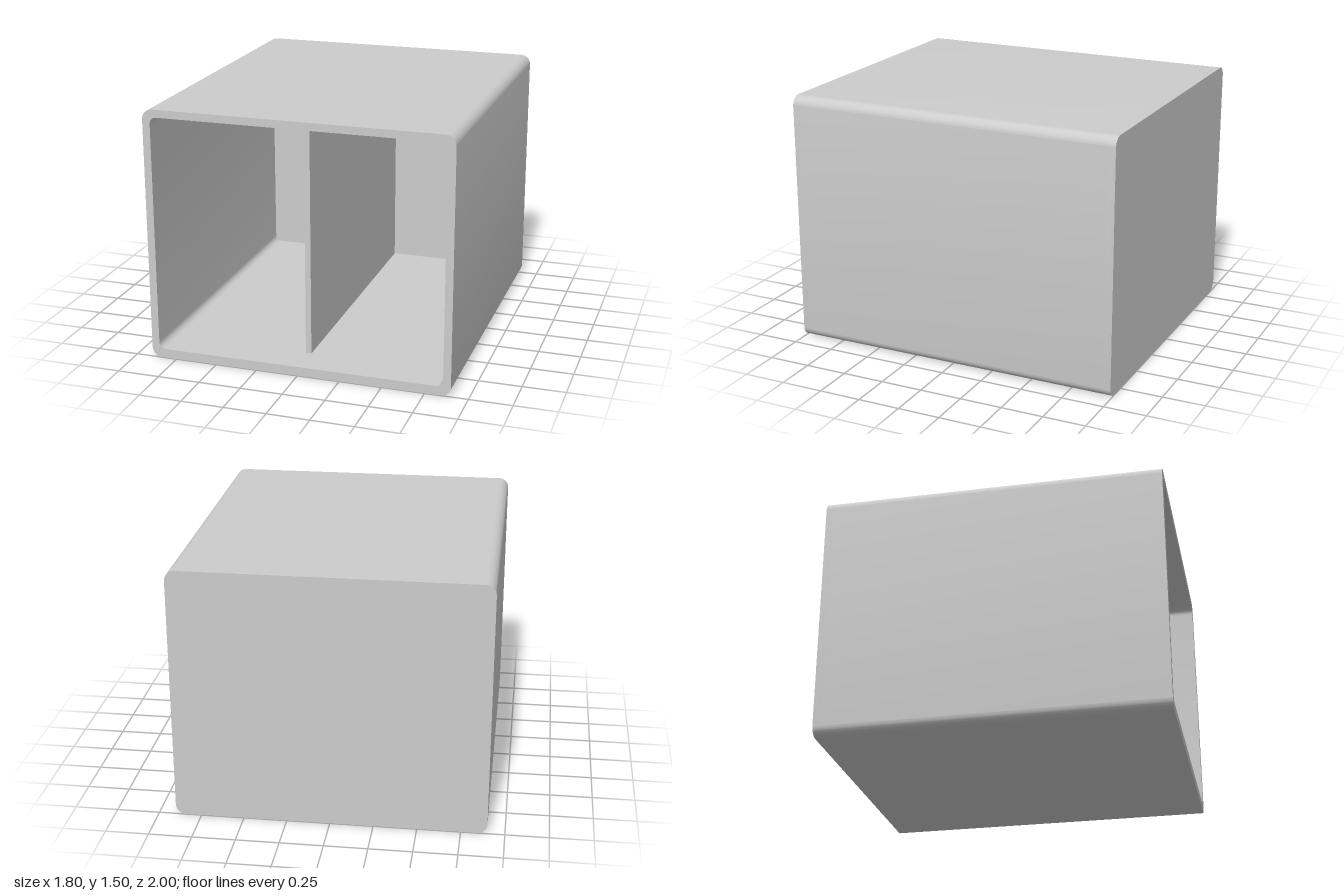
import * as THREE from 'three';
import { toCreasedNormals } from 'three/addons/utils/BufferGeometryUtils.js';

const WIDTH = 1.8, HEIGHT = 1.5, DEPTH = 2, BACK = 0.045;

// Traces a rounded rectangle on a Shape or Path
function roundedRect(path, x0, y0, x1, y1, r) {
  path.moveTo(x0 + r, y0);
  path.lineTo(x1 - r, y0);
  path.absarc(x1 - r, y0 + r, r, -Math.PI / 2, 0, false);
  path.lineTo(x1, y1 - r);
  path.absarc(x1 - r, y1 - r, r, 0, Math.PI / 2, false);
  path.lineTo(x0 + r, y1);
  path.absarc(x0 + r, y1 - r, r, Math.PI / 2, Math.PI, false);
  path.lineTo(x0, y0 + r);
  path.absarc(x0 + r, y0 + r, r, Math.PI, Math.PI * 1.5, false);
  return path;
}

// Extrudes a shape from z0 to z1 with smooth rounded corners
function extrude(shape, z0, z1) {
  const geometry = new THREE.ExtrudeGeometry(shape, {
    depth: z1 - z0, bevelEnabled: false, curveSegments: 12,
  });
  geometry.translate(0, 0, z0);
  return toCreasedNormals(geometry, Math.PI / 6);
}

export function createModel() {
  const group = new THREE.Group();
  group.name = 'dividedBox';
  const grey = new THREE.MeshStandardMaterial({ color: 0xcccccc });
  grey.name = 'light grey';

  const add = (name, geometry) => {
    const mesh = new THREE.Mesh(geometry, grey);
    mesh.name = name;
    group.add(mesh);
    return mesh;
  };
  const outline = () =>
    roundedRect(new THREE.Shape(), -WIDTH / 2, 0, WIDTH / 2, HEIGHT, 0.06);

  // Rounded sleeve, open at the front
  const sleeve = outline();
  sleeve.holes.push(roundedRect(new THREE.Path(), -0.855, 0.055, 0.855, 1.455, 0.04));
  add('sleeve', extrude(sleeve, -DEPTH / 2 + BACK, DEPTH / 2));

  // Closed back
  add('backPanel', extrude(outline(), -DEPTH / 2, -DEPTH / 2 + BACK));

  // Centre divider, set back from the opening
  const front = 0.8, rear = -DEPTH / 2 + BACK;
  const divider = add('divider', new THREE.BoxGeometry(0.034, 1.41, front - rear));
  divider.position.set(0, 0.755, (front + rear) / 2);

  return group;
}
